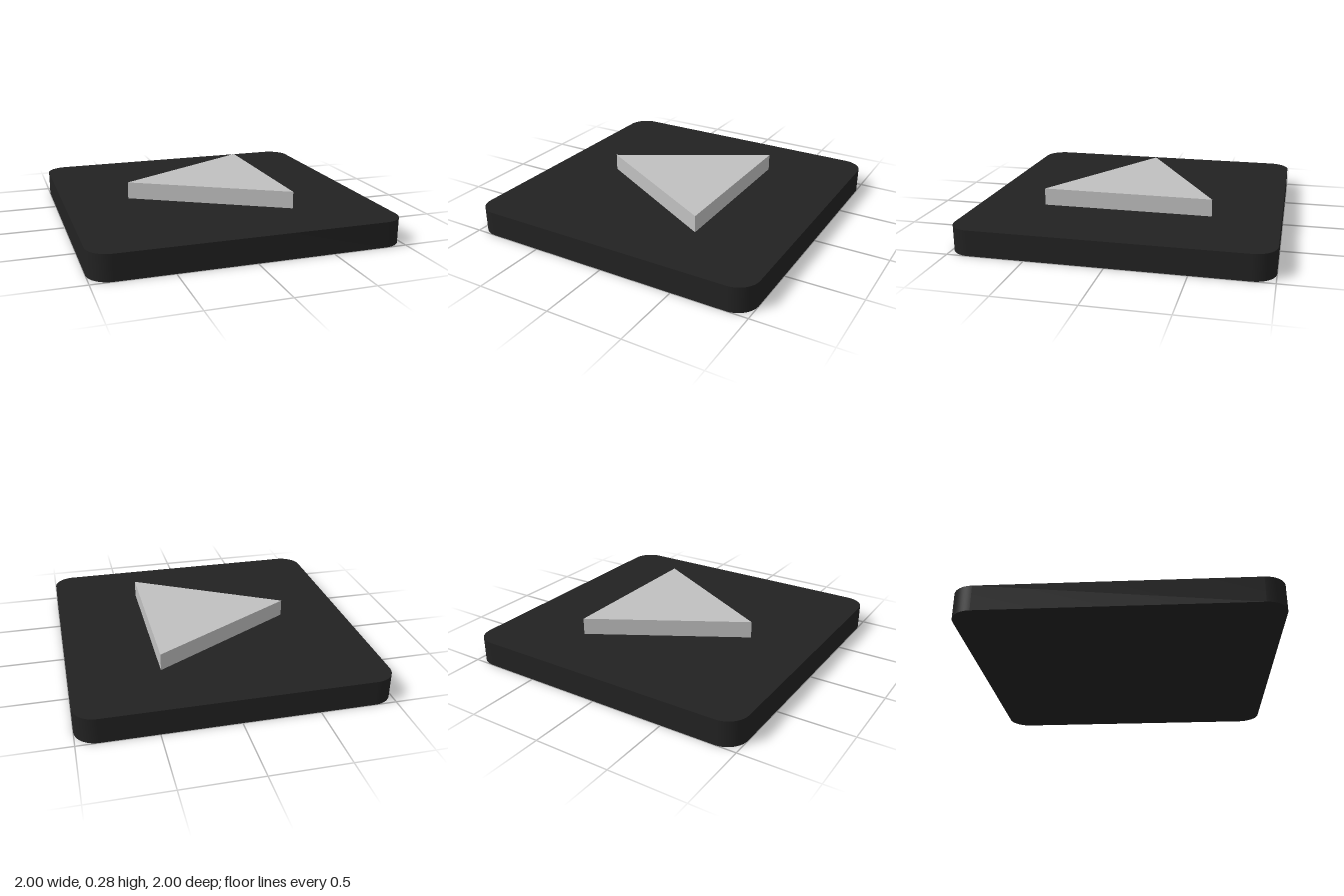
import * as THREE from 'three';
import { toCreasedNormals } from 'three/addons/utils/BufferGeometryUtils.js';

// Extrudes a plan outline (x, -z) upwards from y = bottom to y = top.
function slab(name, shape, bottom, top, material) {
  const geometry = new THREE.ExtrudeGeometry(shape, {
    depth: top - bottom, bevelEnabled: false, curveSegments: 12,
  });
  geometry.rotateX(-Math.PI / 2).translate(0, bottom, 0);
  const mesh = new THREE.Mesh(toCreasedNormals(geometry, Math.PI / 6), material);
  mesh.name = name;
  return mesh;
}

// Square outline with quarter-circle corners.
function roundedSquare(half, radius) {
  const shape = new THREE.Shape();
  const c = half - radius;
  [[c, c], [-c, c], [-c, -c], [c, -c]].forEach(([x, y], i) => {
    shape.absarc(x, y, radius, i * Math.PI / 2, (i + 1) * Math.PI / 2, false);
  });
  shape.closePath();
  return shape;
}

export function createModel() {
  const black = new THREE.MeshStandardMaterial({ color: 0x222222 });
  black.name = 'black';
  const lightGrey = new THREE.MeshStandardMaterial({ color: 0xc0c0c0 });
  lightGrey.name = 'light grey';

  const model = new THREE.Group();
  model.name = 'arrowButton';

  // Rounded base plate
  model.add(slab('basePlate', roundedSquare(1, 0.14), 0, 0.167, black));

  // Raised triangle pointing to -x
  const triangle = new THREE.Shape([
    new THREE.Vector2(-0.56, 0),
    new THREE.Vector2(0.417, -0.56),
    new THREE.Vector2(0.417, 0.56),
  ]);
  model.add(slab('raisedTriangle', triangle, 0.16, 0.28, lightGrey));

  return model;
}
